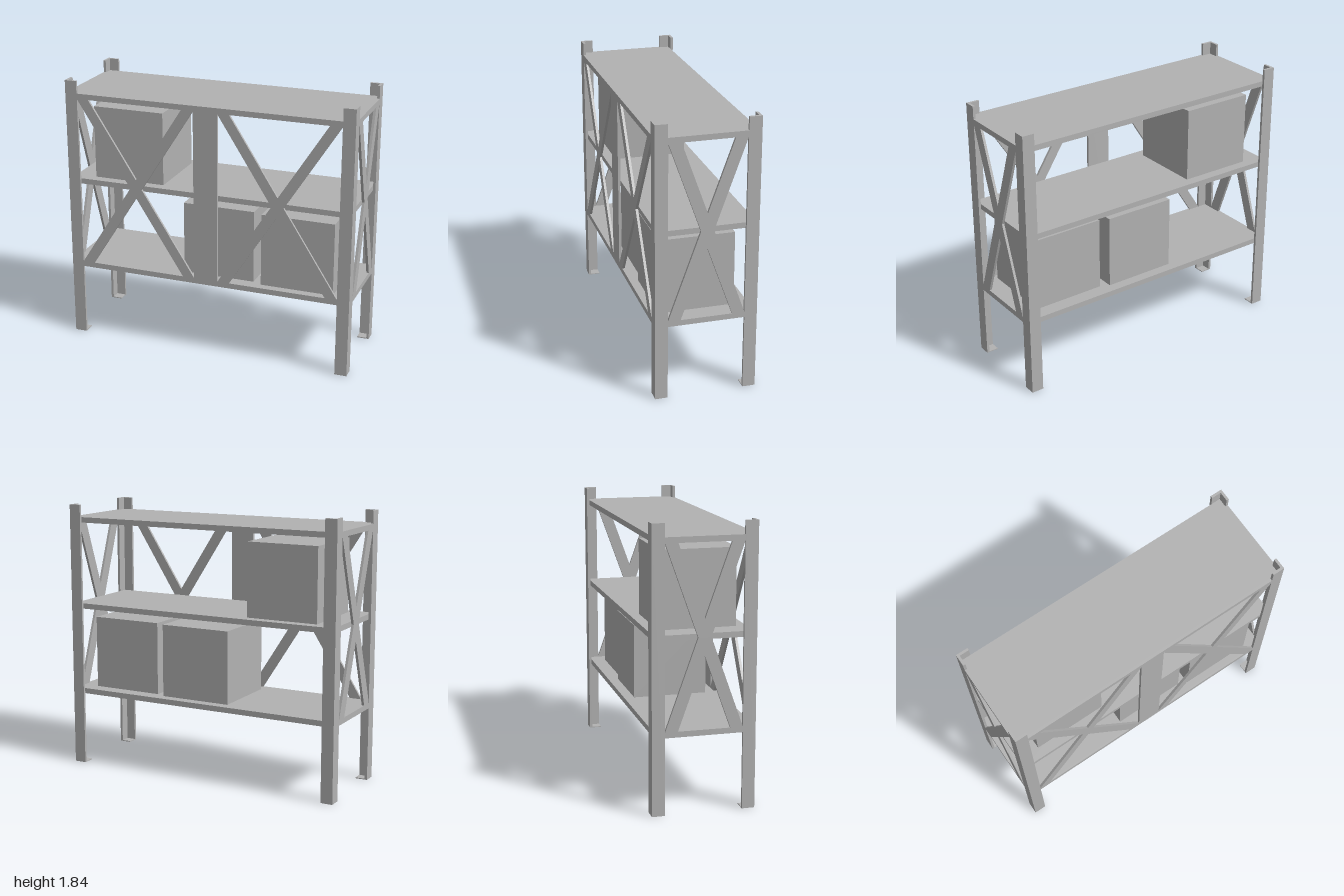
import * as THREE from 'three';

const T = 0.017;            // sheet thickness
const X = 1, Z = 0.335;     // half width and half depth
const LEG = 0.083, LEG_H = 1.835;
const Y0 = 0.505, Y1 = 1.75, RAIL = 0.037;

export function createModel() {
  const group = new THREE.Group();
  const steel = new THREE.MeshStandardMaterial({ color: 0xb2b2b2 });
  steel.name = 'plain grey';

  const add = (parent, name, geometry) => {
    const mesh = new THREE.Mesh(geometry, steel);
    mesh.name = name;
    parent.add(mesh);
    return mesh;
  };
  // Box given by its minimum and maximum corners
  const box = (parent, name, a, b) => {
    const mesh = add(parent, name, new THREE.BoxGeometry(b[0] - a[0], b[1] - a[1], b[2] - a[2]));
    mesh.position.set((a[0] + b[0]) / 2, (a[1] + b[1]) / 2, (a[2] + b[2]) / 2);
    return mesh;
  };

  // Angle-section legs, each on a thin foot plate
  for (const sx of [-1, 1]) for (const sz of [-1, 1]) {
    const leg = new THREE.Group();
    leg.name = (sz > 0 ? 'front' : 'back') + (sx > 0 ? 'Left' : 'Right') + 'Leg';
    const pts = [[X, Z], [X - LEG, Z], [X - LEG, Z - T], [X - T, Z - T], [X - T, Z - LEG], [X, Z - LEG]];
    const section = new THREE.Shape(pts.map(([x, z]) => new THREE.Vector2(sx * x, -sz * z)));
    const angle = add(leg, 'angleBar', new THREE.ExtrudeGeometry(section, { depth: LEG_H, bevelEnabled: false }));
    angle.rotation.x = -Math.PI / 2;
    const foot = add(leg, 'footPlate', new THREE.BoxGeometry(LEG - T, 0.006, LEG - T));
    foot.position.set(sx * (X - (LEG + T) / 2), 0.003, sz * (Z - (LEG + T) / 2));
    group.add(leg);
  }

  // Three shelves inside the legs
  ['bottomShelf', 'middleShelf', 'topShelf'].forEach((name, i) => {
    const y = [Y0, 1.112, Y1 - RAIL][i];
    box(group, name, [-X + T, y, -Z + T], [X - T, y + RAIL, Z - T]);
  });

  // Cuts the four triangles around one cross brace between a and b
  const crossHoles = (shape, a, b) => {
    const lo = Y0 + RAIL, hi = Y1 - RAIL, w = 0.083;
    const cx = (a + b) / 2, cy = (lo + hi) / 2;
    const dy = (hi - lo) / 2 * w / (b - a - w);
    const dx = w / 2;
    const cut = (pts) => shape.holes.push(new THREE.Path(pts.map((p) => new THREE.Vector2(...p))));
    const slopeDy = dy;
    cut([[a + w, hi], [cx, cy + slopeDy], [b - w, hi]]);
    cut([[a + w, lo], [b - w, lo], [cx, cy - slopeDy]]);
    cut([[a + 0.001, hi], [a + 0.001, lo], [cx - dx, cy]]);
    cut([[b - 0.001, hi], [cx + dx, cy], [b - 0.001, lo]]);
  };
  // Flat panel with one cross brace per span
  const bracePanel = (name, half, spans) => {
    const shape = new THREE.Shape([[-half, Y0], [half, Y0], [half, Y1], [-half, Y1]]
      .map((p) => new THREE.Vector2(...p)));
    spans.forEach(([a, b]) => crossHoles(shape, a, b));
    return add(group, name, new THREE.ExtrudeGeometry(shape, { depth: T, bevelEnabled: false }));
  };

  // Front panel: two crosses with a wide centre post
  const fx = X - LEG;
  bracePanel('frontBrace', fx, [[-fx, -LEG], [LEG, fx]]).position.z = Z - T;

  // Side panels between the legs
  const sz = Z - LEG;
  for (const s of [-1, 1]) {
    const side = bracePanel(s > 0 ? 'leftBrace' : 'rightBrace', sz, [[-sz, sz]]);
    side.rotation.y = Math.PI / 2;
    side.position.x = s > 0 ? X - T : -X;
  }

  // Stored cubes: left edge, base and back edge
  const S = 0.5;
  [['upperCrate', -0.835, 1.149, -0.25],
    ['middleCrate', -0.188, 0.542, -0.25],
    ['lowerCrate', 0.373, 0.542, -0.222]].forEach(([name, x, y, z]) =>
    box(group, name, [x, y, z], [x + S, y + S, z + S]));

  return group;
}
